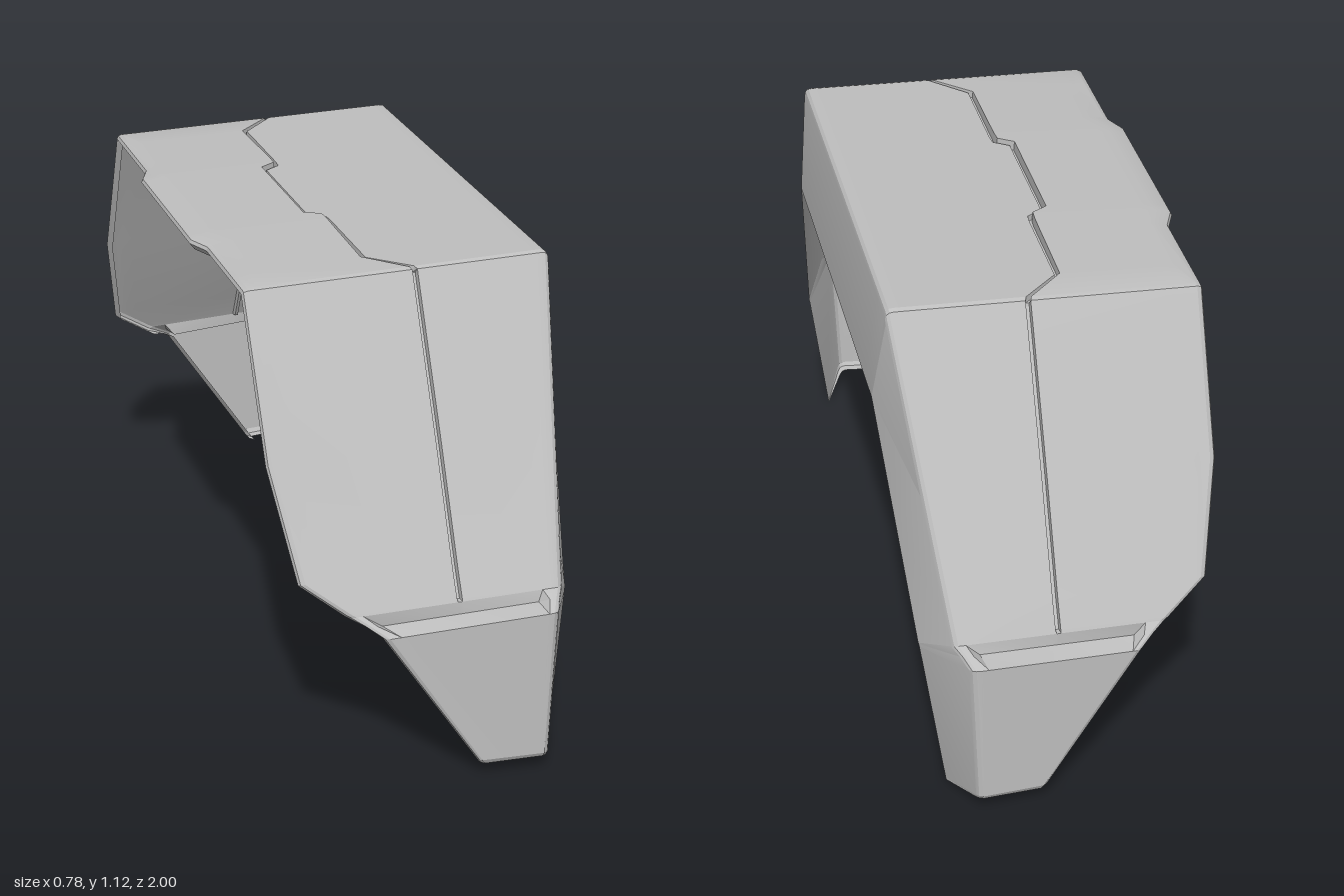
import * as THREE from 'three';
import { toCreasedNormals } from 'three/addons/utils/BufferGeometryUtils.js';

const V = (x, y, z) => new THREE.Vector3(x, y, z);
const mix = (a, b, t) => a.clone().lerp(b, t);

// One station of the arch: left edge, outer right corner, end of the side lip,
// inward direction, seam position and seam depth, slot dip, raise of the left part
function station(left, right, lip, inward, o = {}) {
  return { left: V(...left), right: V(...right), lip: V(...lip), inward: V(...inward).normalize(),
    seam: null, depth: 0, dip: 0, raise: 0, ...o };
}

// Cross-section of the thin shell at a station, from the left rim to the lip
function section(s) {
  const { left: L, right: R, lip, inward } = s;
  const w = R.x - L.x;
  const at = (t, depth = 0, up = 0) => mix(L, R, t).addScaledVector(inward, depth).add(V(0, up, 0));
  const g = s.seam === null ? 0.515 : (s.seam - L.x) / w;
  const e = 0.006 / w, f = 0.004 / w;
  const dipped = (p) => p.add(V(0, -0.013 * s.dip, -0.022 * s.dip));
  const side = lip.clone().sub(R).normalize();
  const a = at(1 - 0.018 / w), c = R.clone().addScaledVector(side, 0.018);
  const bend = (t) => mix(mix(a, R, t), mix(R, c, t), t);
  return [
    at(0.012 / w, 0.028), at(0, 0.012), at(0.004 / w, 0.004), at(0.014 / w),
    at(0.06, 0, s.raise * 0.6), dipped(at(0.1, 0, s.raise * 0.7)),
    dipped(at(g - e, 0, s.raise)), dipped(at(g - f, s.depth)),
    dipped(at(g + f, s.depth)), dipped(at(g + e)),
    dipped(at(0.91)), at(0.95),
    a, bend(0.33), bend(0.67), c, lip,
  ];
}

// Lofts a run of cross-sections into an open sheet
function loft(sections) {
  const n = sections[0].length, index = [];
  for (let i = 0; i < sections.length - 1; i++) {
    for (let j = 0; j < n - 1; j++) {
      const a = i * n + j, b = a + 1, c = a + n, d = c + 1;
      index.push(a, b, c, b, d, c);
    }
  }
  const geo = new THREE.BufferGeometry().setFromPoints(sections.flat());
  geo.setIndex(index);
  return toCreasedNormals(geo, 0.25);
}

export function createModel() {
  const group = new THREE.Group();
  const grey = new THREE.MeshStandardMaterial({ color: 0xbfbfbf, side: THREE.DoubleSide });
  grey.name = 'light grey';

  const back = [0, 0, -1], slope = [0, -0.45, -0.89], down = [0, -1, 0];
  const lipLow = V(0.342, 0.37, 0.813), lipTop = V(0.39, 0.865, 0.53);
  const cornerLow = V(0.28, 0.44, 0.94), cornerTop = V(0.362, 1.105, 0.598);

  // Lower foot, with a narrow turned-in bottom rim
  const foot = [
    station([0.085, 0.034, 0.96], [0.232, 0.038, 0.975], [0.288, 0.006, 0.865], back),
    station([0.08, 0.036, 0.98], [0.235, 0.04, 0.995], [0.29, 0.005, 0.866], back),
    station([0.072, 0.048, 0.985], [0.236, 0.05, 1.0], [0.291, 0.012, 0.864], back),
    station([-0.15, 0.382, 0.962], [0.25, 0.408, 1.0], [0.34, 0.362, 0.816], back),
  ];
  // Ledge with the sunken slot
  const ledge = [
    foot[3],
    station([-0.185, 0.405, 0.937], [0.265, 0.427, 0.968], [0.341, 0.366, 0.814], back, { dip: 1 }),
    station([-0.215, 0.425, 0.918], cornerLow.toArray(), lipLow.toArray(), slope),
  ];
  // Sloping panel: left outline points, each with its fraction up the right edge
  const sloped = [[-0.225, 0.431, 0.915, 0.012], [-0.32, 0.5, 0.872, 0.1], [-0.362, 0.75, 0.765, 0.47],
    [-0.366, 1.09, 0.598, 1]].map(([x, y, z, t]) =>
    station([x, y, z], mix(cornerLow, cornerTop, t).toArray(), mix(lipLow, lipTop, t).toArray(), slope,
      { seam: 0.04, depth: 0.014 }));
  const panel = [ledge[2], ...sloped];

  // Half of the top, from the rounded crease to the middle: z, left x, seam x, raise
  const crease = station([-0.366, 1.102, 0.592], [0.363, 1.117, 0.592], lipTop.toArray(), [0, -0.8, -0.6],
    { seam: 0.04, depth: 0.014 });
  const top = [[0.58, -0.366, 0.036, 0], [0.49, -0.366, -0.05, 0.003], [0.29, -0.366, -0.05, 0.008],
    [0.23, -0.39, -0.05, 0.01], [0.2, -0.39, -0.052, 0.01], [0.175, -0.39, -0.09, 0.01]].map(([z, x, seam, raise]) =>
    station([x, 1.105, z], [0.363, 1.121, z], [0.39, 0.865, z * 0.9], down, { seam, depth: 0.014, raise }));
  const half = [sloped[3], crease, ...top];

  const mirror = (pts) => pts.map((p) => V(p.x, p.y, -p.z));
  const add = (name, sections) => {
    const mesh = new THREE.Mesh(loft(sections), grey);
    mesh.name = name;
    group.add(mesh);
  };

  // Front and rear legs mirror each other
  for (const [part, stations] of [['Foot', foot], ['SlotLedge', ledge], ['SlopedPanel', panel]]) {
    const sections = stations.map(section);
    add('front' + part, sections);
    add('rear' + part, sections.map(mirror).reverse());
  }
  // Top panel runs right across
  const front = half.map(section);
  add('topPanel', [...front, ...front.map(mirror).reverse()]);
  return group;
}
